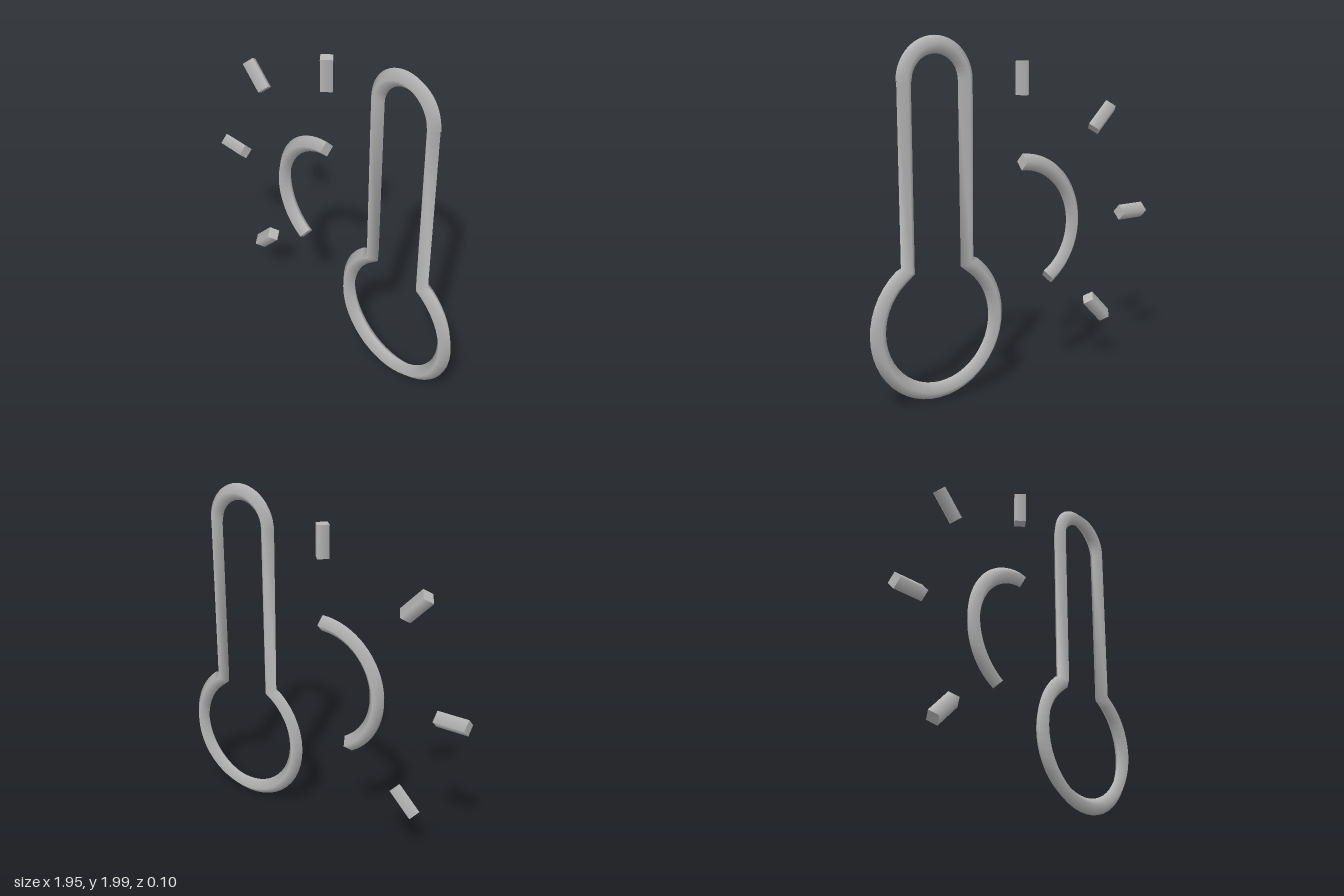
import * as THREE from 'three';

const R = 0.048; // half-width of the diamond-section bar

// Points along a circular arc, angles in degrees
function arc(cx, cy, r, from, to, segments) {
  const pts = [];
  for (let i = 0; i <= segments; i++) {
    const a = THREE.MathUtils.degToRad(from + ((to - from) * i) / segments);
    pts.push(new THREE.Vector2(cx + r * Math.cos(a), cy + r * Math.sin(a)));
  }
  return pts;
}

// Sweeps a four-sided section along a flat path, smooth along its sides, with flat end caps
function sweep(path, endScale = 1) {
  const pos = [], nor = [], idx = [], rings = [];
  const last = path.length - 1;
  const dir = (i) => path[i + 1].clone().sub(path[i]).normalize();
  path.forEach((p, i) => {
    const t = new THREE.Vector2();
    if (i > 0) t.add(dir(i - 1));
    if (i < last) t.add(dir(i));
    t.normalize();
    const w = i === last ? R * endScale : R;
    const ring = [];
    for (let k = 0; k < 4; k++) {
      const c = [1, 0, -1, 0][k], s = [0, 1, 0, -1][k];
      ring.push([p.x + t.y * c * w, p.y - t.x * c * w, s * R]);
      pos.push(...ring[k]);
      nor.push(t.y * c, -t.x * c, s);
    }
    rings.push({ ring, t });
    if (i === last) return;
    for (let k = 0; k < 4; k++) {
      const a = i * 4 + k, d = i * 4 + ((k + 1) % 4);
      idx.push(a, a + 4, d + 4, a, d + 4, d);
    }
  });
  // End caps
  for (const [{ ring, t }, sign] of [[rings[0], -1], [rings[last], 1]]) {
    const b = pos.length / 3;
    for (const v of ring) {
      pos.push(...v);
      nor.push(t.x * sign, t.y * sign, 0);
    }
    if (sign < 0) idx.push(b, b + 1, b + 2, b, b + 2, b + 3);
    else idx.push(b, b + 3, b + 2, b, b + 2, b + 1);
  }
  const g = new THREE.BufferGeometry();
  g.setAttribute('position', new THREE.Float32BufferAttribute(pos, 3));
  g.setAttribute('normal', new THREE.Float32BufferAttribute(nor, 3));
  g.setIndex(idx);
  return g;
}

export function createModel() {
  const group = new THREE.Group();
  const grey = new THREE.MeshStandardMaterial({ color: 0xb8b8b8 });
  grey.name = 'grey';
  const add = (name, geometry) => {
    const mesh = new THREE.Mesh(geometry, grey);
    mesh.name = name;
    group.add(mesh);
  };

  // Thermometer outline: rounded top, left stem, bulb, right stem
  const top = arc(0.543, 1.763, 0.19, 0, 180, 24);
  const bulb = arc(0.543, 0.434, 0.378, 120, 420, 40);
  add('thermometerOutline', sweep([...top, ...bulb, new THREE.Vector2(0.733, 1.763)], 0.9));

  // Partial sun disc
  const sx = -0.03, sy = 0.912;
  add('sunArc', sweep(arc(sx, sy, 0.376, 90, 240, 28)));

  // Sun rays: angle, inner radius
  [[90, 0.757], [135, 0.757], [180, 0.757], [225, 0.722]].forEach(([deg, r], i) => {
    const a = THREE.MathUtils.degToRad(deg);
    const at = (d) => new THREE.Vector2(sx + d * Math.cos(a), sy + d * Math.sin(a));
    add('sunRay' + (i + 1), sweep([at(r), at(r + 0.19)]));
  });

  return group;
}
